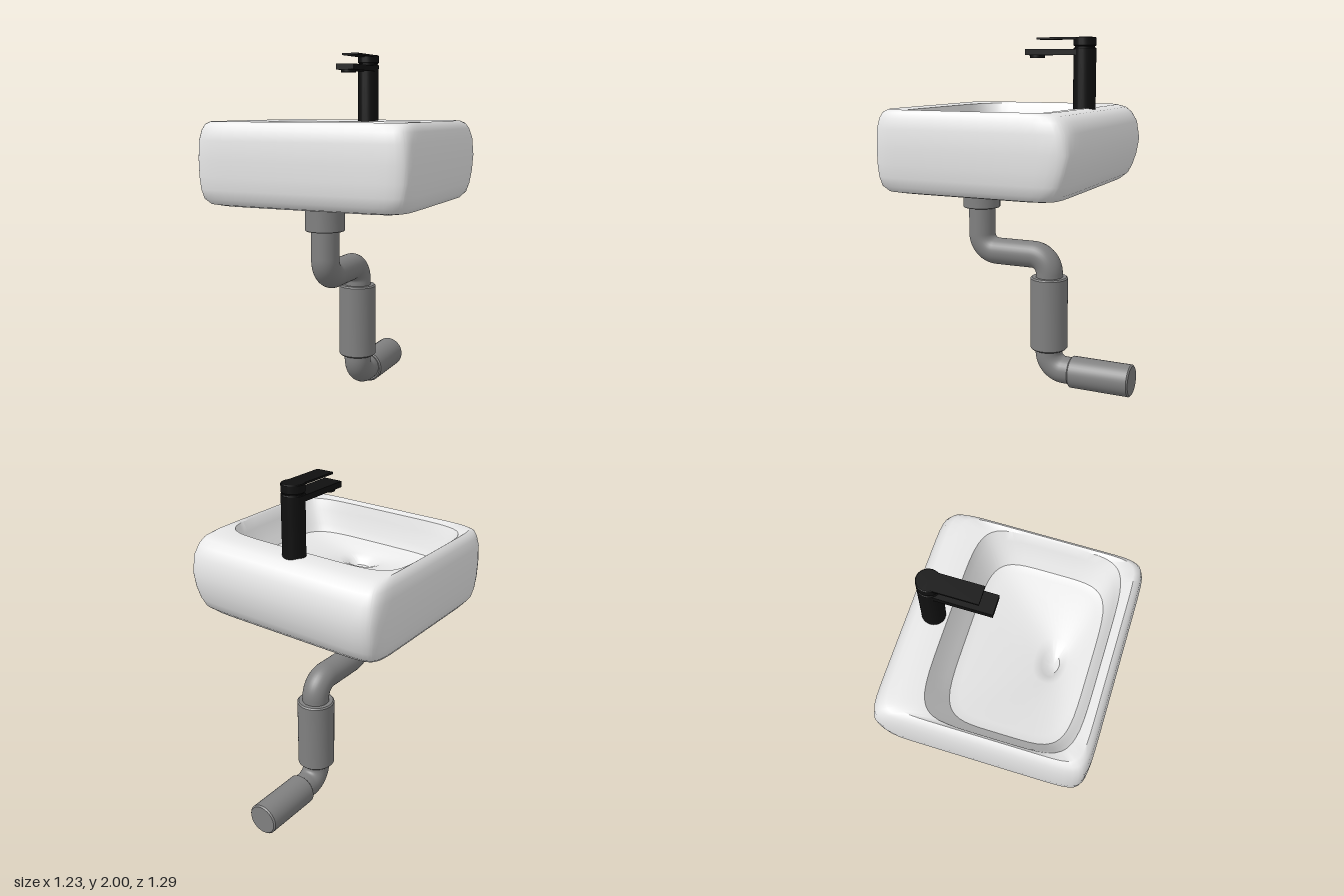
import * as THREE from 'three';
import { toCreasedNormals } from 'three/addons/utils/BufferGeometryUtils.js';

const ceramic = new THREE.MeshStandardMaterial({ name: 'white ceramic', color: 0xe8e8e8 });
const plastic = new THREE.MeshStandardMaterial({ name: 'grey pipe', color: 0x808080 });
const black = new THREE.MeshStandardMaterial({ name: 'black tap', color: 0x101010 });

function part(name, geometry, material, x = 0, y = 0, z = 0) {
  const mesh = new THREE.Mesh(geometry, material);
  mesh.name = name;
  mesh.position.set(x, y, z);
  return mesh;
}

// Skin of stacked, rounded-square rings: [y, half width, back z, front z, squareness]
function ringSkin(rings, perSide = 20) {
  const square = [];
  for (let side = 0; side < 4; side++) {
    for (let i = 0; i < perSide; i++) {
      const t = Math.sin((i / perSide - 0.5) * Math.PI);
      square.push([[1, t], [-t, 1], [-1, -t], [t, -1]][side]);
    }
  }
  const count = square.length, positions = [], index = [];
  rings.forEach(([y, halfX, back, front, n], r) => {
    square.forEach(([u, v], j) => {
      const k = (Math.abs(u) ** n + Math.abs(v) ** n) ** (-1 / n);
      positions.push(u * k * halfX, y, (back + front) / 2 + v * k * (front - back) / 2);
      if (r === 0) return;
      const next = (j + 1) % count, lo = (r - 1) * count, hi = r * count;
      index.push(lo + j, hi + j, lo + next, lo + next, hi + j, hi + next);
    });
  });
  const geometry = new THREE.BufferGeometry();
  geometry.setAttribute('position', new THREE.Float32BufferAttribute(positions, 3));
  geometry.setIndex(index);
  return toCreasedNormals(geometry, 0.7);
}

// Solid cylinder with a small bevel at both ends, standing on y = 0
function sleeve(radius, height, bevel = 0.008) {
  const profile = [
    [0, 0], [radius - bevel, 0], [radius, bevel],
    [radius, height - bevel], [radius - bevel, height], [0, height],
  ].map(([x, y]) => new THREE.Vector2(x, y));
  return toCreasedNormals(new THREE.LatheGeometry(profile, 40), 0.6);
}

// Path through corner points with rounded bends
function bentPath(corners, radius) {
  const path = new THREE.CurvePath();
  let start = corners[0];
  for (let i = 1; i < corners.length - 1; i++) {
    const c = corners[i];
    const before = corners[i - 1].clone().sub(c).setLength(radius).add(c);
    const after = corners[i + 1].clone().sub(c).setLength(radius).add(c);
    path.add(new THREE.LineCurve3(start, before));
    path.add(new THREE.CubicBezierCurve3(
      before, before.clone().lerp(c, 0.552), after.clone().lerp(c, 0.552), after));
    start = after;
  }
  path.add(new THREE.LineCurve3(start, corners[corners.length - 1]));
  return path;
}

function createBasin() {
  return part('basin', ringSkin([
    // underside and outer wall
    [1.17, 0.001, 0.099, 0.101, 4],
    [1.17, 0.53, -0.37, 0.57, 10],
    [1.18, 0.572, -0.405, 0.605, 12],
    [1.21, 0.595, -0.438, 0.628, 14],
    [1.26, 0.607, -0.463, 0.64, 14],
    [1.33, 0.614, -0.485, 0.645, 14],
    [1.42, 0.617, -0.5, 0.645, 14],
    [1.52, 0.612, -0.485, 0.643, 14],
    [1.575, 0.6, -0.455, 0.632, 14],
    [1.605, 0.587, -0.42, 0.617, 14],
    // rim
    [1.62, 0.57, -0.37, 0.595, 12],
    [1.61, 0.557, -0.257, 0.55, 6],
    // bowl
    [1.55, 0.54, -0.235, 0.535, 5],
    [1.47, 0.5, -0.19, 0.518, 5],
    [1.425, 0.475, -0.165, 0.5, 5],
    [1.41, 0.43, -0.12, 0.465, 5],
    // drain dip
    [1.385, 0.13, 0.21, 0.385, 2.4],
    [1.365, 0.085, 0.25, 0.365, 2],
    [1.335, 0.05, 0.285, 0.345, 2],
    [1.33, 0.001, 0.314, 0.316, 2],
  ]), ceramic);
}

function createDrain() {
  const drain = new THREE.Group();
  drain.name = 'drain';
  const path = bentPath([
    [1.1, 0.293], [0.772, 0.293], [0.772, -0.138], [0.1, -0.138], [0.1, -0.32],
  ].map(([y, z]) => new THREE.Vector3(0, y, z)), 0.1);
  drain.add(part('wastePipe', new THREE.TubeGeometry(path, 140, 0.078, 32), plastic));
  drain.add(part('topCollar', sleeve(0.108, 0.15, 0.003), plastic, 0, 1.03, 0.295));
  drain.add(part('trapSleeve', sleeve(0.108, 0.43), plastic, 0, 0.22, -0.138));
  const outlet = part('wallOutlet', sleeve(0.092, 0.365), plastic, 0, 0.096, -0.28);
  outlet.rotation.x = -Math.PI / 2;
  drain.add(outlet);
  return drain;
}

function createTap() {
  const tap = new THREE.Group();
  tap.name = 'tap';
  tap.position.set(-0.02, 0, -0.333);
  tap.add(part('tapBody', sleeve(0.062, 0.345, 0.004), black, 0, 1.6, 0));
  tap.add(part('tapNeck', sleeve(0.055, 0.03, 0.002), black, 0, 1.93, 0));
  tap.add(part('tapCap', sleeve(0.062, 0.048, 0.004), black, 0, 1.952, 0));
  tap.add(part('spout', new THREE.BoxGeometry(0.108, 0.032, 0.333), black, 0, 1.921, 0.167));
  tap.add(part('aerator', new THREE.CylinderGeometry(0.042, 0.042, 0.02, 32), black, 0, 1.9, 0.281));
  tap.add(part('lever', new THREE.BoxGeometry(0.1, 0.011, 0.265), black, 0, 1.9945, 0.1325));
  return tap;
}

export function createModel() {
  const model = new THREE.Group();
  model.name = 'washbasin';
  model.add(createBasin(), createDrain(), createTap());
  return model;
}
